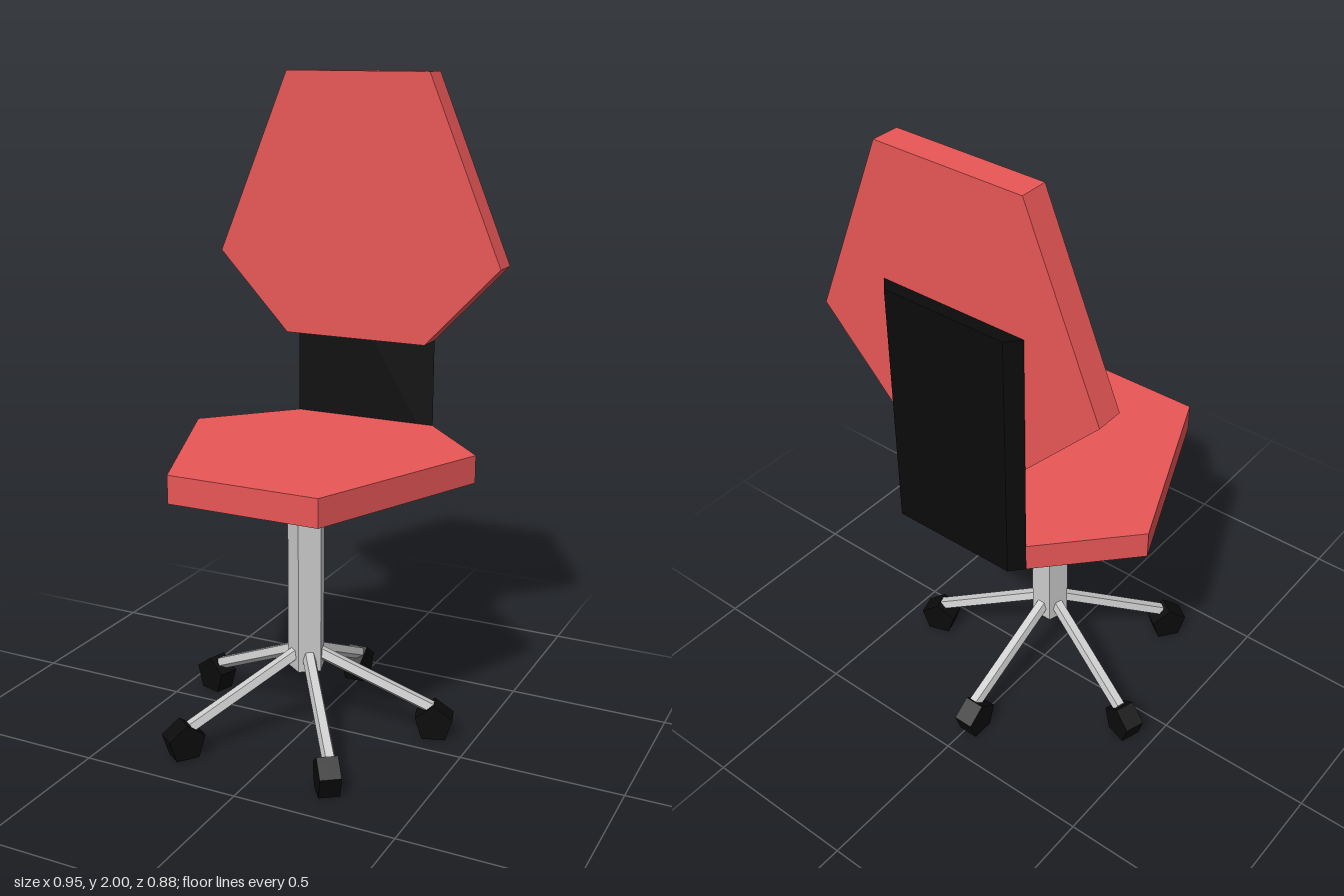
import * as THREE from 'three';

const mat = (color) => new THREE.MeshStandardMaterial({ color, flatShading: true });
const red = mat(0xe85656), black = mat(0x0b0b0b), grey = mat(0xcccccc);

// Straight prism over an outline mirrored in x; half lists the +x corners bottom to top.
function prism(half, depth) {
  const mirrored = half.map(([x, y]) => [-x, y]).reverse();
  const shape = new THREE.Shape([...half, ...mirrored].map(([x, y]) => new THREE.Vector2(x, y)));
  return new THREE.ExtrudeGeometry(shape, { depth, bevelEnabled: false });
}

function add(parent, name, geometry, material) {
  const mesh = new THREE.Mesh(geometry, material);
  mesh.name = name;
  parent.add(mesh);
  return mesh;
}

export function createModel() {
  const chair = new THREE.Group();
  chair.name = 'swivelChair';

  // Seat: hexagon lying flat, narrow at front and back
  const seat = prism([[0.236, -0.437], [0.473, 0.132], [0.236, 0.385]], 0.085);
  seat.rotateX(-Math.PI / 2).translate(0, 0.825, 0);
  add(chair, 'seat', seat, red);

  // Backrest: the same hexagon, upright
  const back = prism([[0.236, 1.185], [0.473, 1.434], [0.236, 2]], 0.085);
  add(chair, 'backrest', back.translate(0, 0, -0.385), red);

  // Support plate with chamfered rear edges
  const plate = prism([[0.2, 0.425], [0.236, 0.385]].reverse(), 0.775);
  plate.rotateX(-Math.PI / 2).translate(0, 0.825, 0);
  add(chair, 'backSupport', plate, black);

  // Five-sided column
  const centreZ = 0.027;
  const column = new THREE.CylinderGeometry(0.0595, 0.0595, 0.63, 5);
  add(chair, 'column', column, grey).position.set(-0.002, 0.525, centreZ);

  // Sloping five-sided leg, running out along +z
  const from = new THREE.Vector3(0, 0.268, 0.02), to = new THREE.Vector3(0, 0.092, 0.395);
  const legGeo = new THREE.CylinderGeometry(0.021, 0.021, from.distanceTo(to), 5);
  legGeo.rotateX(Math.atan2(to.z - from.z, to.y - from.y));
  legGeo.translate(0, (from.y + to.y) / 2, (from.z + to.z) / 2);

  // Pentagonal caster standing on a flat side
  const casterGeo = new THREE.CylinderGeometry(0.061, 0.061, 0.064, 5);
  casterGeo.rotateZ(Math.PI / 2).rotateX(-Math.PI / 2).translate(0, 0.0494, 0.408);

  // Five legs and casters, one pointing straight back
  const base = new THREE.Group();
  base.name = 'base';
  base.position.z = centreZ;
  chair.add(base);
  for (let i = 0; i < 5; i++) {
    const angle = Math.PI + (i * Math.PI * 2) / 5;
    const leg = add(base, 'leg', legGeo, grey);
    leg.position.x = -0.003;
    leg.rotation.y = angle;
    const caster = add(base, 'caster', casterGeo, black);
    caster.position.x = -0.013;
    caster.rotation.y = angle;
  }
  return chair;
}
